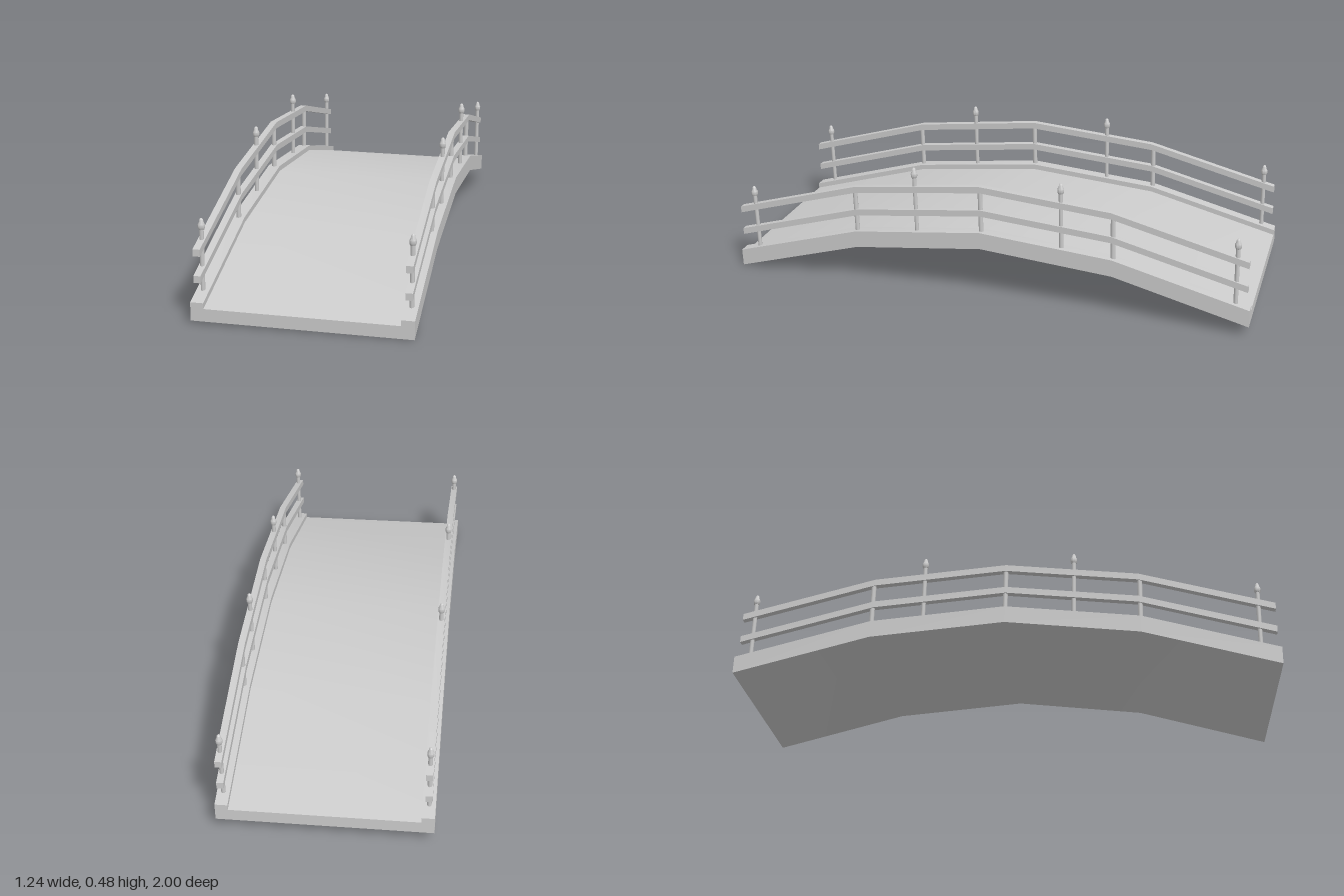
import * as THREE from 'three';
import { toCreasedNormals } from 'three/addons/utils/BufferGeometryUtils.js';

const LENGTH = 1.87, HALF_W = 0.352, RAIL_X = 0.331;
const CURB_W = 0.042, DECK_T = 0.042, CURB_T = 0.061;
const material = new THREE.MeshStandardMaterial({ color: 0xcccccc });

// Height of the underside along the span: four straight segments
function arch(z) {
  const q = LENGTH / 4, d = Math.abs(z);
  return d < q ? 0.175 - 0.047 * d / q : 0.128 * (2 * q - d) / q;
}

// Sweep an outline along the span and bend it over the arch
function archedSweep(points, length) {
  const shape = new THREE.Shape(points.map(([x, y]) => new THREE.Vector2(x, y)));
  const geo = new THREE.ExtrudeGeometry(shape, { depth: length, steps: 4, bevelEnabled: false });
  geo.translate(0, 0, -length / 2);
  const p = geo.attributes.position;
  for (let i = 0; i < p.count; i++) p.setY(i, p.getY(i) + arch(p.getZ(i)));
  return toCreasedNormals(geo, 0.5);
}

function part(name, geometry, parent, x = 0, y = 0, z = 0) {
  const mesh = new THREE.Mesh(geometry, material);
  mesh.name = name;
  mesh.position.set(x, y, z);
  parent.add(mesh);
  return mesh;
}

export function createModel() {
  const model = new THREE.Group();
  model.name = 'archedFootbridge';

  // Deck with a raised curb on both sides
  const inner = HALF_W - CURB_W;
  part('deckAndCurbs', archedSweep([
    [-HALF_W, 0], [HALF_W, 0], [HALF_W, CURB_T], [inner, CURB_T],
    [inner, DECK_T], [-inner, DECK_T], [-inner, CURB_T], [-HALF_W, CURB_T],
  ], LENGTH), model);

  // Shared railing geometries
  const r = 0.0115;
  const railGeo = archedSweep([[-r, -r], [r, -r], [r, r], [-r, r]], 1.85);
  const base = 0.05;
  const shortPostGeo = new THREE.CylinderGeometry(0.0085, 0.0085, 0.217 - base, 8);
  const tallPostGeo = new THREE.CylinderGeometry(0.0075, 0.0075, 0.264 - base, 8);
  const finialGeo = toCreasedNormals(new THREE.LatheGeometry([
    [0, 0], [0.009, 0], [0.0115, 0.006], [0.0115, 0.016], [0.0075, 0.024],
    [0.006, 0.032], [0.003, 0.036], [0, 0.037],
  ].map(([x, y]) => new THREE.Vector2(x, y)), 10), 0.7);

  // Railings: two rails, short posts at the bends, tall posts with finials
  for (const side of [1, -1]) {
    const railing = new THREE.Group();
    railing.name = side > 0 ? 'leftRailing' : 'rightRailing';
    const x = side * RAIL_X;
    part('lowerRail', railGeo, railing, x, 0.131, 0);
    part('topRail', railGeo, railing, x, 0.218, 0);
    for (const z of [-0.4675, 0, 0.4675]) {
      part('shortPost', shortPostGeo, railing, x, arch(z) + (0.217 + base) / 2, z);
    }
    for (const z of [-0.885, -0.287, 0.239, 0.868]) {
      part('tallPost', tallPostGeo, railing, x, arch(z) + (0.264 + base) / 2, z);
      part('finial', finialGeo, railing, x, arch(z) + 0.26, z);
    }
    model.add(railing);
  }

  // The bridge stands turned and slightly tilted
  model.rotation.set(0.0206, 0.31, -0.012, 'YXZ');
  model.position.y = 0.0235;
  const root = new THREE.Group();
  root.name = 'footbridge';
  root.add(model);
  return root;
}
